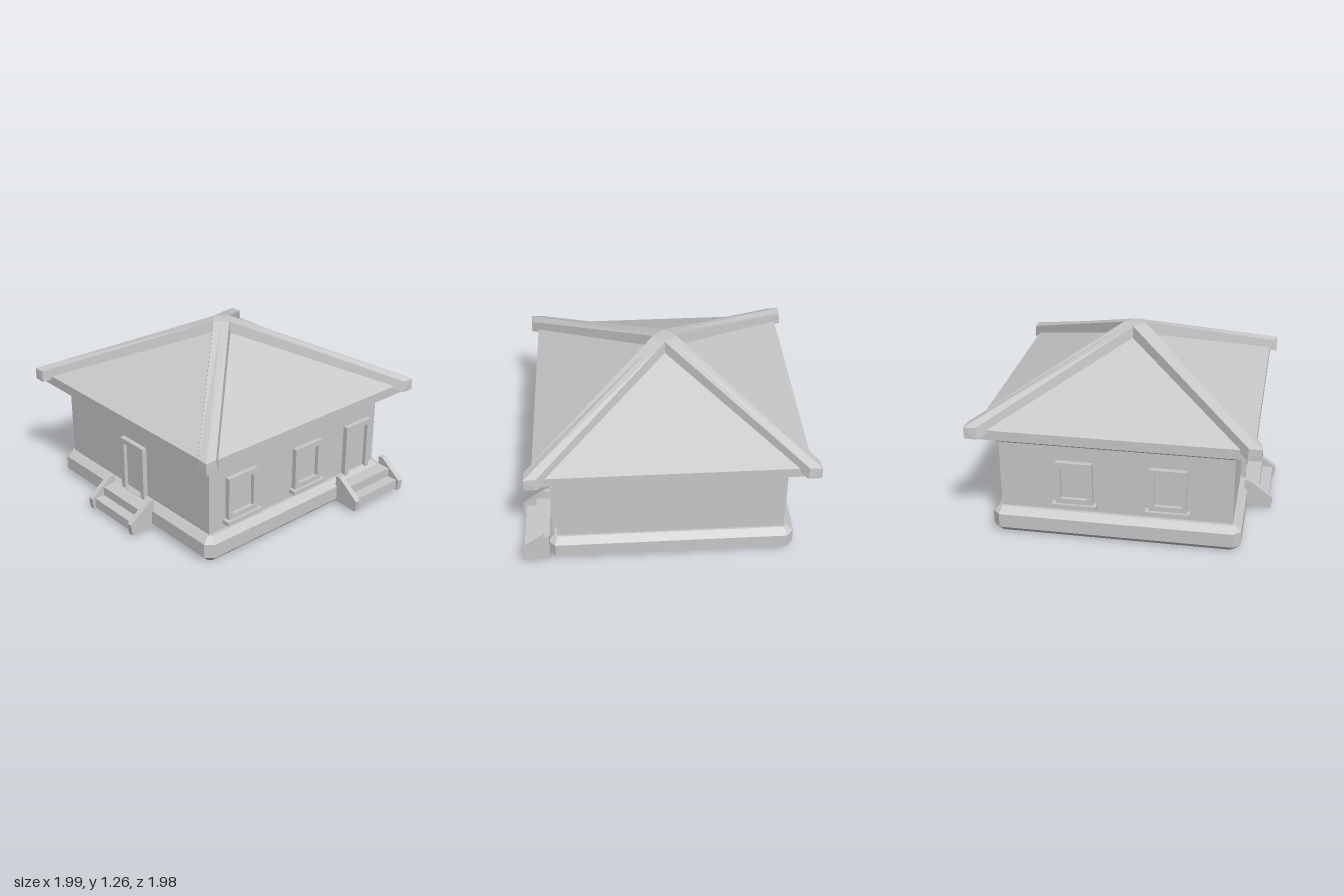
import * as THREE from 'three';

const stone = new THREE.MeshStandardMaterial({ color: 0xc8c8c8 });
stone.name = 'light grey';

function mesh(name, geo) {
  const m = new THREE.Mesh(geo, stone);
  m.name = name;
  return m;
}

// Flat-faced solid through rings of points, each counter-clockwise seen from the last ring's end
function loft(rings) {
  const out = [];
  const tri = (...pts) => pts.forEach((p) => out.push(...p));
  const n = rings[0].length;
  for (let r = 0; r < rings.length - 1; r++) {
    const a = rings[r], b = rings[r + 1];
    for (let i = 0; i < n; i++) {
      const j = (i + 1) % n;
      tri(a[i], a[j], b[j]);
      tri(a[i], b[j], b[i]);
    }
  }
  const first = rings[0], last = rings[rings.length - 1];
  for (let i = 1; i < n - 1; i++) {
    tri(first[0], first[i + 1], first[i]);
    tri(last[0], last[i], last[i + 1]);
  }
  const g = new THREE.BufferGeometry();
  g.setAttribute('position', new THREE.Float32BufferAttribute(out, 3));
  g.computeVertexNormals();
  return g;
}

// Square ring with cut corners
function octagon(h, y, c) {
  const k = h - c;
  return [[h, -k], [k, -h], [-k, -h], [-h, -k], [-h, k], [-k, h], [k, h], [h, k]]
    .map(([x, z]) => [x, y, z]);
}
const square = (h, y) => [[h, y, h], [h, y, -h], [-h, y, -h], [-h, y, h]];

function box(name, w, h, d, x, y, z) {
  return mesh(name, new THREE.BoxGeometry(w, h, d).translate(x, y, z));
}

// Door or window facing +z, with its wall at z = 0
function opening(name, bottom, isDoor) {
  const g = new THREE.Group();
  g.name = name;
  const w = 0.125, t = 0.035, top = 0.56;
  const rect = (P, x, y0, y1) => {
    const p = new P();
    p.moveTo(-x, y0); p.lineTo(x, y0); p.lineTo(x, y1); p.lineTo(-x, y1); p.closePath();
    return p;
  };
  const low = isDoor ? bottom + 0.003 : 0.29;
  const shape = rect(THREE.Shape, w, bottom, top);
  shape.holes.push(rect(THREE.Path, w - t, low, top - 0.037));
  g.add(mesh('frame', new THREE.ExtrudeGeometry(shape, { depth: 0.035, bevelEnabled: false })));
  g.add(box(isDoor ? 'doorPanel' : 'windowPane', 2 * (w - t), top - 0.037 - low, 0.008, 0, (top - 0.037 + low) / 2, 0.004));
  if (!isDoor) g.add(box('sill', 0.3, 0.03, 0.055, 0, 0.24, 0.0275));
  return g;
}

// Two steps between sloping cheek walls, leading out along +z
function stoop(name) {
  const g = new THREE.Group();
  g.name = name;
  const inner = 0.415;
  g.add(box('upperStep', inner, 0.135, 0.1, 0, 0.0975, 0.05));
  g.add(box('lowerStep', inner, 0.07, 0.175, 0, 0.065, 0.0875));
  const pts = [[0, 0.03], [0.19, 0.02], [0.2, 0.1], [0.035, 0.225], [0, 0.225]];
  const shape = new THREE.Shape(pts.map((p) => new THREE.Vector2(...p)));
  for (const s of [-1, 1]) {
    const geo = new THREE.ExtrudeGeometry(shape, { depth: 0.04, bevelEnabled: false });
    geo.rotateY(-Math.PI / 2).translate(0.02 + s * 0.2275, 0, 0);
    g.add(mesh('cheekWall', geo));
  }
  return g;
}

// Hip beam along the (+x, +z) diagonal with a mitred end
function hipBeam() {
  const ring = (d, dTip, top) => {
    const wt = 0.039, wb = 0.046, h = 0.08;
    const p = (a, w, y) => [a + w, y, a - w];
    return [p(dTip, 0, top), p(d, -wt, top), p(d, -wb, top - h),
      p(dTip, 0, top - h), p(d, wb, top - h), p(d, wt, top)];
  };
  return loft([ring(0, 0, 1.265), ring(0.04, 0.04, 1.265), ring(0.914, 0.957, 0.845)]);
}

export function createModel() {
  const model = new THREE.Group();
  model.name = 'house';

  // Main body, centred slightly off the origin because of the steps
  const body = new THREE.Group();
  body.name = 'body';
  body.position.set(-0.038, 0, -0.024);
  model.add(body);
  body.add(mesh('plinth', loft([octagon(0.8, 0, 0.02), octagon(0.845, 0.045, 0.05),
    octagon(0.845, 0.145, 0.05), octagon(0.8, 0.187, 0.02)])));
  body.add(box('walls', 1.556, 0.54, 1.572, 0, 0.44, 0));
  body.add(mesh('cornice', loft([octagon(0.805, 0.68, 0.02), octagon(0.835, 0.71, 0.035), octagon(0.835, 0.745, 0.035)])));

  // Pyramid roof with eaves and hip beams
  body.add(mesh('roof', loft([square(0.91, 0.742), square(0.91, 0.81), square(0.0005, 1.227)])));
  for (let i = 0; i < 4; i++) body.add(mesh('hipBeam', hipBeam().rotateY(i * Math.PI / 2)));

  // Doors, windows and steps: [part, x, z, turn about y]
  const right = Math.PI / 2;
  const place = (part, x, z, turn) => {
    part.position.set(x, 0, z);
    part.rotation.y = turn;
    model.add(part);
  };
  place(opening('frontDoor', 0.17, true), -0.04, 0.762, 0);
  place(opening('sideDoor', 0.17, true), 0.74, -0.61, right);
  for (const z of [0.495, -0.108]) place(opening('leftWindow', 0.25, false), 0.74, z, right);
  for (const z of [0.33, -0.3]) place(opening('rightWindow', 0.25, false), -0.816, z, -right);
  place(stoop('frontSteps'), -0.042, 0.8, 0);
  place(stoop('sideSteps'), 0.795, -0.62, right);

  return model;
}
